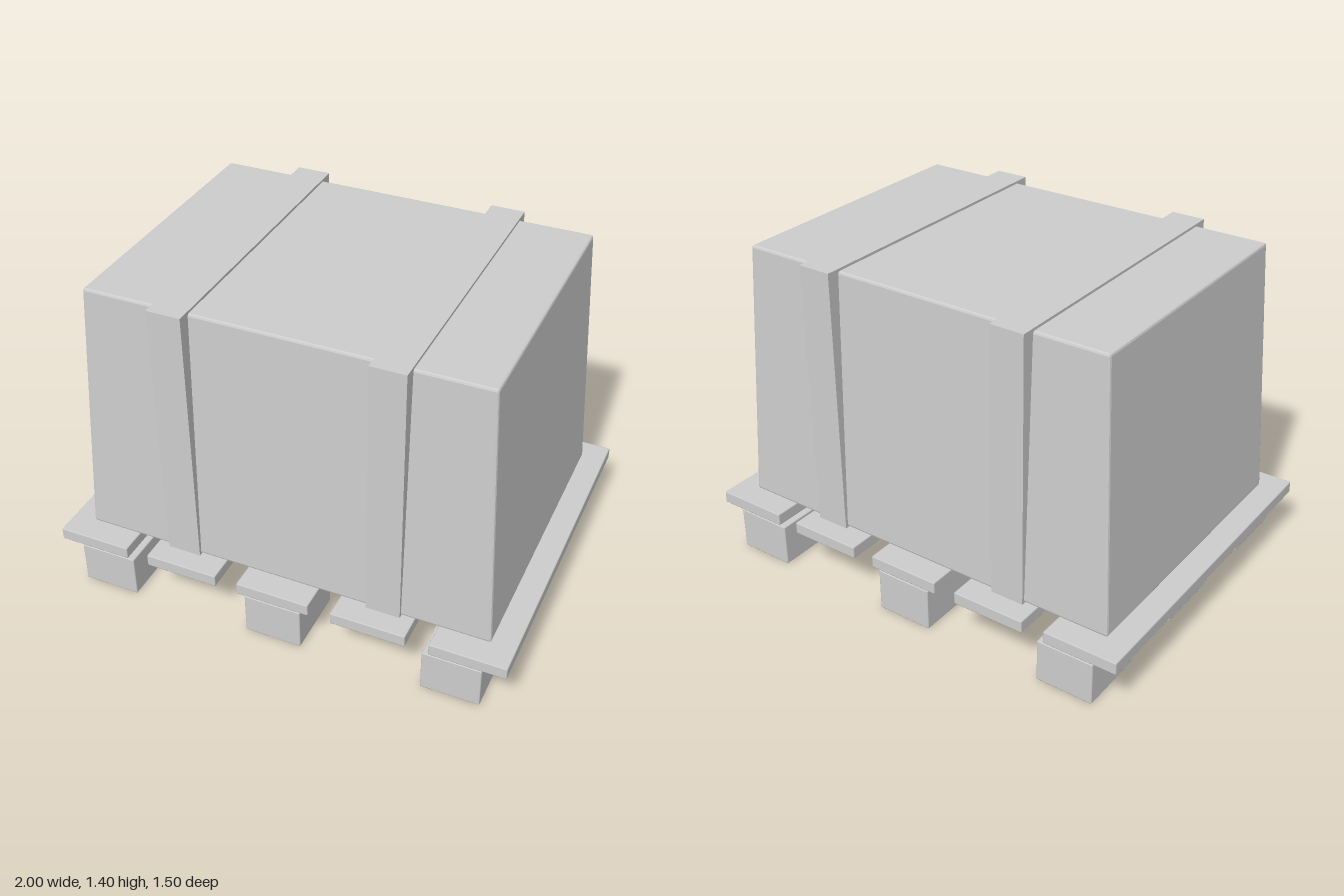
import * as THREE from 'three';
import { RoundedBoxGeometry } from 'three/addons/geometries/RoundedBoxGeometry.js';

export function createModel() {
  const model = new THREE.Group();
  model.name = 'loadedPallet';
  const grey = new THREE.MeshStandardMaterial({ name: 'plain grey', color: 0xcccccc });

  // Slightly softened box standing on height y
  function addBox(name, w, h, d, x, y, z, radius = 0.005) {
    const geometry = radius > 0
      ? new RoundedBoxGeometry(w, h, d, 1, radius)
      : new THREE.BoxGeometry(w, h, d);
    const mesh = new THREE.Mesh(geometry, grey);
    mesh.name = name;
    mesh.position.set(x, y + h / 2, z);
    model.add(mesh);
    return mesh;
  }

  // Nine feet in a three by three grid
  for (const x of [-0.775, 0, 0.775]) {
    for (const z of [-0.6, 0, 0.6]) addBox('palletFoot', 0.25, 0.187, 0.3, x, 0, z);
  }

  // Five deck boards running front to back
  for (let i = -2; i <= 2; i++) addBox('deckBoard', 0.322, 0.054, 1.5, i * 0.419, 0.189, 0);

  // Tapered load, narrowing towards the top
  const height = 1.147;
  const load = addBox('load', 1.796, height, 1.296, 0, 0.247, 0, 0.01);
  const p = load.geometry.attributes.position;
  for (let i = 0; i < p.count; i++) {
    const t = p.getY(i) / height + 0.5;
    p.setX(i, p.getX(i) * (1 - 0.07 * t));
    p.setZ(i, p.getZ(i) * (1 - 0.07 * t));
  }
  load.geometry.computeVertexNormals();

  // Two upright straps wrapped around the load
  for (const x of [-0.449, 0.449]) addBox('strap', 0.146, 1.162, 1.32, x, 0.243, 0, 0);

  return model;
}
